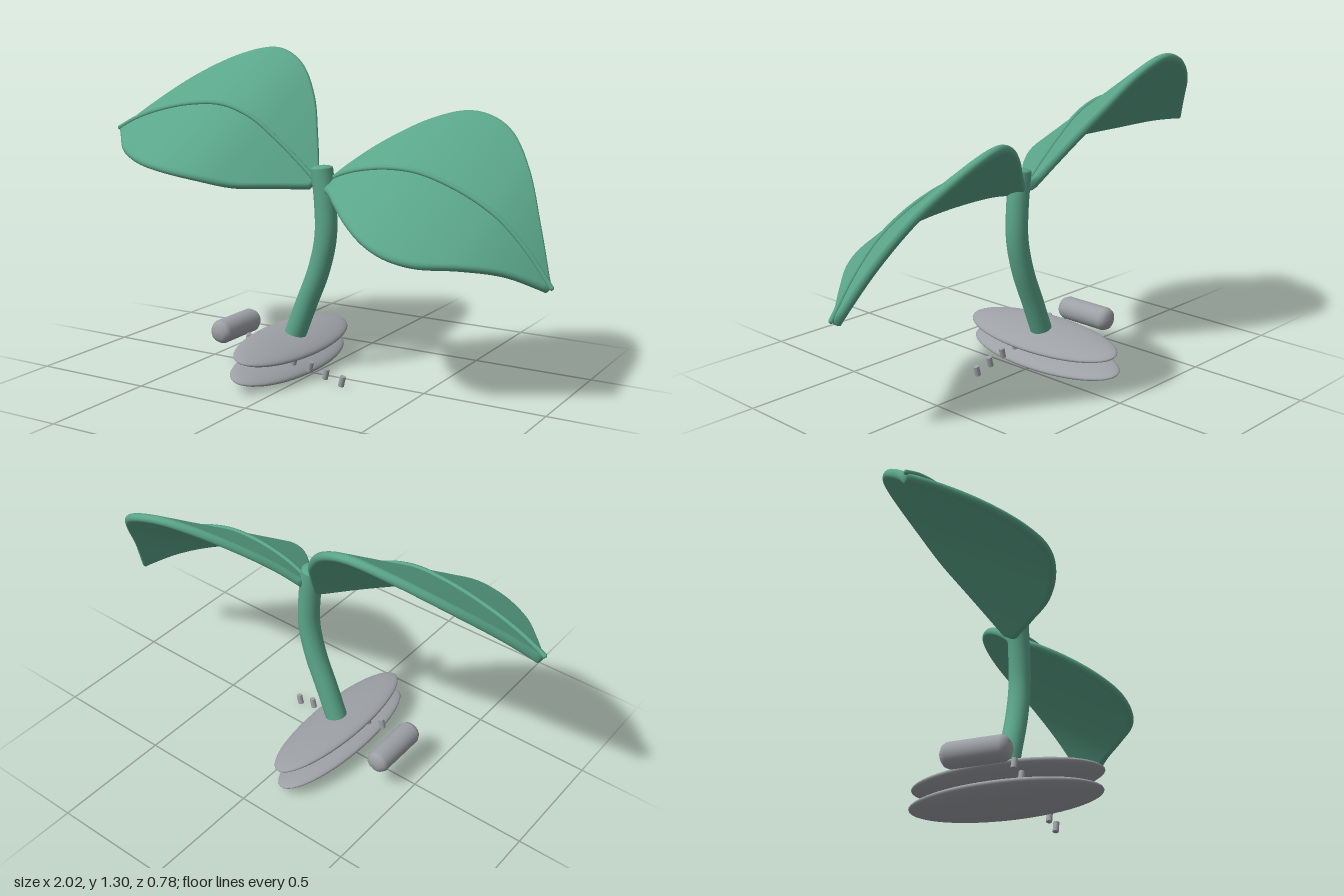
import * as THREE from 'three';

const TILT = 0.65;    // drop of the blade from back to front
const SHEAR = 0.155;  // sideways sweep of the cross-sections
const R = 0.018;      // half thickness of a blade

export function createModel() {
  const group = new THREE.Group();
  const green = new THREE.MeshStandardMaterial({ name: 'leafGreen', color: 0x5aa58a });
  const grey = new THREE.MeshStandardMaterial({ name: 'stoneGrey', color: 0x9da0a5 });

  const add = (name, geometry, material, x = 0, y = 0, z = 0, parent = group) => {
    const mesh = new THREE.Mesh(geometry, material);
    mesh.name = name;
    mesh.position.set(x, y, z);
    parent.add(mesh);
    return mesh;
  };

  // Leaf: rounded flat cross-sections along a spine of [x, rib height, half width]
  function leaf(name, stations) {
    const spine = new THREE.CatmullRomCurve3(stations.map((s) => new THREE.Vector3(...s)));
    const across = new THREE.Vector3(-SHEAR, -TILT, 1);
    const rows = 56, half = 9, ring = half * 2;
    const pos = [], idx = [], ribPath = [];
    for (let i = 0; i <= rows; i++) {
      const p = spine.getPoint(i / rows), t = spine.getTangent(i / rows);
      const along = new THREE.Vector3(t.x, t.y, 0).normalize();
      const normal = across.clone().cross(along).normalize();
      const centre = new THREE.Vector3(p.x, p.y - 0.03, -0.02);
      ribPath.push(centre.clone().addScaledVector(normal, 0.02));
      const r = Math.min(R, p.z);
      for (let j = 0; j < ring; j++) {
        const front = j < half;
        const a = -Math.PI / 2 + Math.PI * (j % half) / (half - 1) + (front ? 0 : Math.PI);
        const s = (front ? 1 : -1) * (p.z - r) + r * Math.cos(a);
        const v = centre.clone().addScaledVector(across, s).addScaledVector(normal, R * Math.sin(a));
        pos.push(v.x, v.y, v.z);
      }
    }
    for (let i = 0; i < rows; i++) {
      for (let j = 0; j < ring; j++) {
        const a = i * ring + j, b = i * ring + (j + 1) % ring;
        idx.push(a, a + ring, b, b, a + ring, b + ring);
      }
    }
    // end caps
    const last = rows * ring;
    for (let j = 1; j < ring - 1; j++) {
      idx.push(0, j, j + 1, last, last + j + 1, last + j);
    }
    const blade = new THREE.BufferGeometry();
    blade.setAttribute('position', new THREE.Float32BufferAttribute(pos, 3));
    blade.setIndex(idx);
    blade.computeVertexNormals();

    const part = new THREE.Group();
    part.name = name;
    group.add(part);
    add('blade', blade, green, 0, 0, 0, part);
    add('midrib', new THREE.TubeGeometry(new THREE.CatmullRomCurve3(ribPath), 64, 0.01, 8), green, 0, 0, 0, part);
    for (const end of [ribPath[0], ribPath[rows]]) {
      add('midribEnd', new THREE.SphereGeometry(0.01, 8, 6), green, end.x, end.y, end.z, part);
    }
  }

  leaf('rightLeaf', [
    [-0.99, 0.97, 0.012], [-0.9, 1.015, 0.1], [-0.77, 1.06, 0.22], [-0.6, 1.095, 0.315],
    [-0.45, 1.1, 0.35], [-0.32, 1.06, 0.325], [-0.2, 0.98, 0.25], [-0.1, 0.9, 0.14], [-0.01, 0.82, 0.03],
  ]);
  leaf('leftLeaf', [
    [0.05, 0.815, 0.03], [0.12, 0.85, 0.09], [0.2, 0.875, 0.165], [0.33, 0.893, 0.27], [0.45, 0.887, 0.335],
    [0.55, 0.86, 0.35], [0.65, 0.82, 0.325], [0.77, 0.75, 0.235], [0.88, 0.645, 0.12], [0.985, 0.51, 0.012],
  ]);

  // Curved stem with a low domed top
  const stemPath = new THREE.CatmullRomCurve3([
    [-0.095, 0.15], [-0.04, 0.29], [0.02, 0.44], [0.052, 0.58], [0.05, 0.72], [0.034, 0.855],
  ].map(([x, y]) => new THREE.Vector3(x, y, -0.003)));
  add('stem', new THREE.TubeGeometry(stemPath, 40, 0.045, 24), green);
  const cap = add('stemTop', new THREE.SphereGeometry(0.045, 24, 8, 0, Math.PI * 2, 0, Math.PI / 2), green, 0.034, 0.855, -0.003);
  cap.scale.y = 0.3;
  cap.rotation.z = 0.1;

  // Two tilted lens-shaped base discs
  for (const [name, x, y] of [['upperDisc', -0.1, 0.135], ['lowerDisc', -0.118, 0.053]]) {
    const disc = add(name, new THREE.SphereGeometry(1, 48, 24), grey, x, y, 0);
    disc.scale.set(0.132, 0.031, 0.39);
    disc.rotation.z = -0.24;
  }

  // Rounded roller beside the base
  const profile = [[0, -0.135], [0.025, -0.133], [0.042, -0.122], [0.05, -0.105],
    [0.05, 0.105], [0.042, 0.122], [0.025, 0.133], [0, 0.135]].map(([r, h]) => new THREE.Vector2(r, h));
  add('roller', new THREE.LatheGeometry(profile, 32), grey, -0.385, 0.15, 0).rotation.x = Math.PI / 2;

  // Row of small pegs
  for (let i = 0; i < 7; i++) {
    const peg = add('peg', new THREE.CylinderGeometry(0.012, 0.012, 0.042, 16), grey,
      -0.257 + i * 0.074, 0.137 - i * 0.018, 0.096);
    peg.rotation.z = -0.24;
  }

  return group;
}
